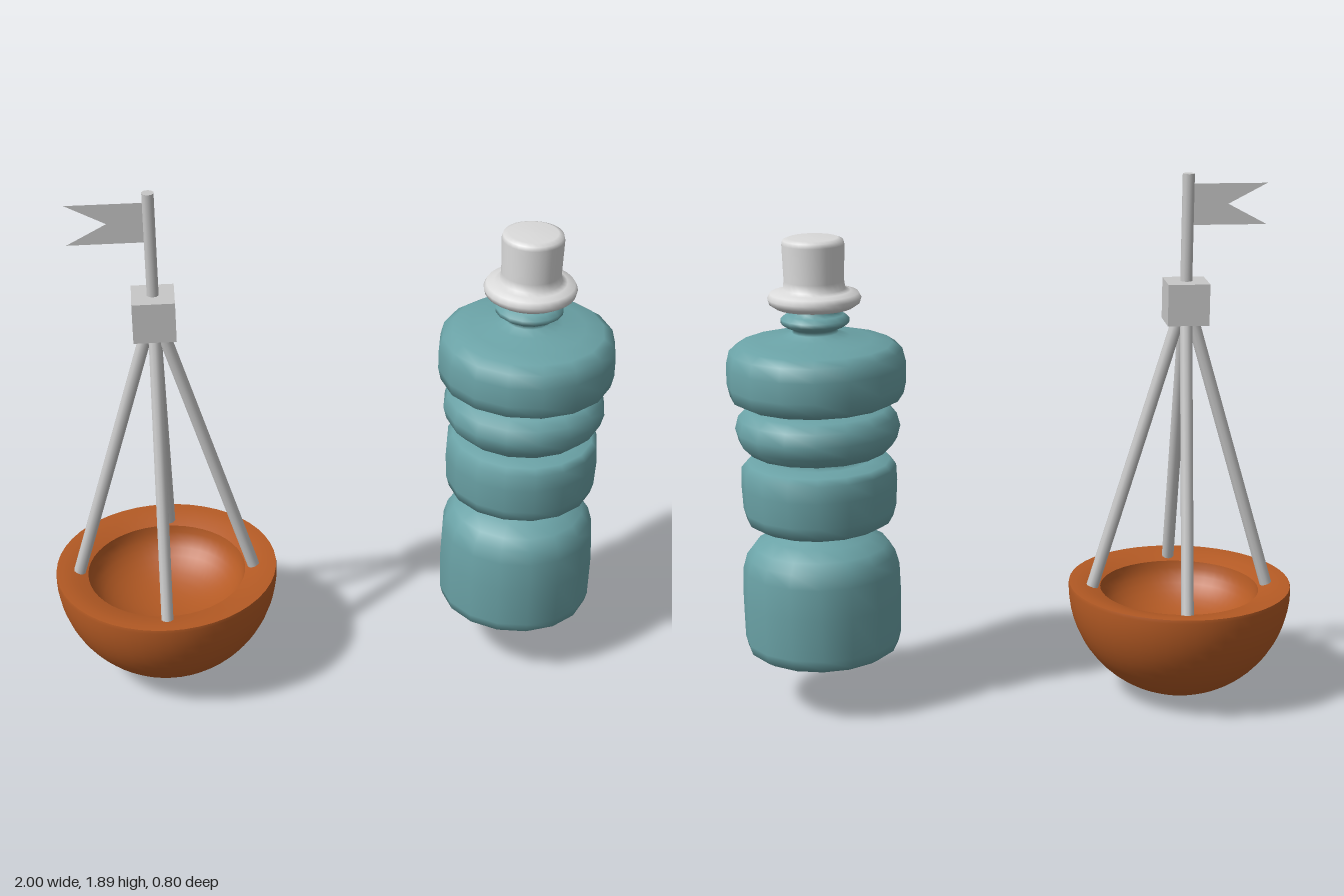
import * as THREE from 'three';

const material = (name, color, side = THREE.FrontSide) => {
  const m = new THREE.MeshStandardMaterial({ color, side });
  m.name = name;
  return m;
};

export function createModel() {
  const orange = material('hull orange', 0xb45a24);
  const grey = material('mast grey', 0xc8c8c8, THREE.DoubleSide);
  const teal = material('bottle teal', 0x6ba3a7);
  const white = material('cap white', 0xdadada);

  const model = new THREE.Group();
  model.name = 'buoyAndBottle';

  const add = (parent, name, geometry, mat, x = 0, y = 0, z = 0) => {
    const mesh = new THREE.Mesh(geometry, mat);
    mesh.name = name;
    mesh.position.set(x, y, z);
    parent.add(mesh);
    return mesh;
  };
  const lathe = (points, segments) =>
    new THREE.LatheGeometry(points.map(([r, y]) => new THREE.Vector2(r, y)), segments);
  // Straight round bar between two points
  const bar = (parent, name, from, to, radius) => {
    const a = new THREE.Vector3(...from), b = new THREE.Vector3(...to);
    const dir = b.clone().sub(a);
    const mesh = add(parent, name, new THREE.CylinderGeometry(radius, radius, dir.length(), 10), grey);
    mesh.position.copy(a).add(b).multiplyScalar(0.5);
    mesh.quaternion.setFromUnitVectors(new THREE.Vector3(0, 1, 0), dir.normalize());
  };

  // Buoy
  const buoy = new THREE.Group();
  buoy.name = 'buoy';
  buoy.position.x = -0.6;
  model.add(buoy);

  // Hemispherical hull, sloping rim and hollow bowl
  const outer = [];
  for (let i = 0; i <= 16; i++) {
    const a = (i / 16) * Math.PI / 2;
    outer.push([0.4 * Math.sin(a), 0.4 - 0.4 * Math.cos(a)]);
  }
  outer.push([0.398, 0.412]);
  add(buoy, 'hull', lathe(outer, 48), orange);
  add(buoy, 'rim', lathe([[0.398, 0.412], [0.37, 0.411], [0.33, 0.405], [0.285, 0.39]], 48), orange);
  const inner = [];
  for (let i = 0; i <= 10; i++) {
    const a = (i / 10) * Math.PI / 2;
    inner.push([0.285 * Math.cos(a), 0.39 - 0.17 * Math.sin(a)]);
  }
  add(buoy, 'bowl', lathe(inner, 48), orange);

  // Four splayed legs, slightly askew
  [[-0.35, -0.01], [0.35, 0.01], [-0.008, 0.355], [0.022, -0.35]].forEach(([x, z], i) =>
    bar(buoy, 'leg' + (i + 1), [x, 0.28, z], [x * 0.04, 1.42, z * 0.04], 0.022));

  // Mast head, pole and swallow-tailed flag
  add(buoy, 'mastHead', new THREE.BoxGeometry(0.145, 0.145, 0.145), grey, 0, 1.445, 0);
  bar(buoy, 'pole', [0, 1.5, 0], [0, 1.89, 0], 0.021);
  const flag = new THREE.Shape([[0, 1.712], [0, 1.855], [-0.275, 1.855], [-0.14, 1.784], [-0.275, 1.712]]
    .map(([x, y]) => new THREE.Vector2(x, y)));
  add(buoy, 'flag', new THREE.ShapeGeometry(flag), grey);

  // Ribbed bottle
  const bottle = new THREE.Group();
  bottle.name = 'bottle';
  bottle.position.x = 0.685;
  model.add(bottle);

  add(bottle, 'bottleBody', lathe([
    [0, 0.19], [0.19, 0.19], [0.24, 0.197], [0.268, 0.215], [0.277, 0.25], [0.28, 0.4],
    [0.276, 0.51], [0.262, 0.56], [0.235, 0.595], [0.18, 0.625], [0.13, 0.642], [0.11, 0.653],
    [0.14, 0.662], [0.22, 0.67], [0.257, 0.69], [0.268, 0.73], [0.273, 0.82], [0.27, 0.88],
    [0.25, 0.902], [0.19, 0.91], [0.1, 0.918],
    [0.19, 0.926], [0.24, 0.94], [0.275, 0.975], [0.287, 1.02], [0.275, 1.065], [0.245, 1.092],
    [0.19, 1.102], [0.1, 1.106],
    [0.2, 1.11], [0.265, 1.116], [0.3, 1.135], [0.31, 1.18], [0.31, 1.25], [0.298, 1.298],
    [0.265, 1.32], [0.2, 1.333], [0.12, 1.345], [0.08, 1.358], [0.075, 1.37],
    [0.1, 1.38], [0.118, 1.393], [0.118, 1.408], [0.1, 1.422], [0.075, 1.43], [0.08, 1.46],
  ], 16), teal);

  add(bottle, 'cap', lathe([
    [0, 1.442], [0.09, 1.442], [0.135, 1.448], [0.156, 1.462], [0.161, 1.48], [0.152, 1.497],
    [0.125, 1.504], [0.107, 1.512], [0.103, 1.54], [0.107, 1.665], [0.103, 1.68], [0.085, 1.687],
    [0, 1.688],
  ], 28), white);

  return model;
}
